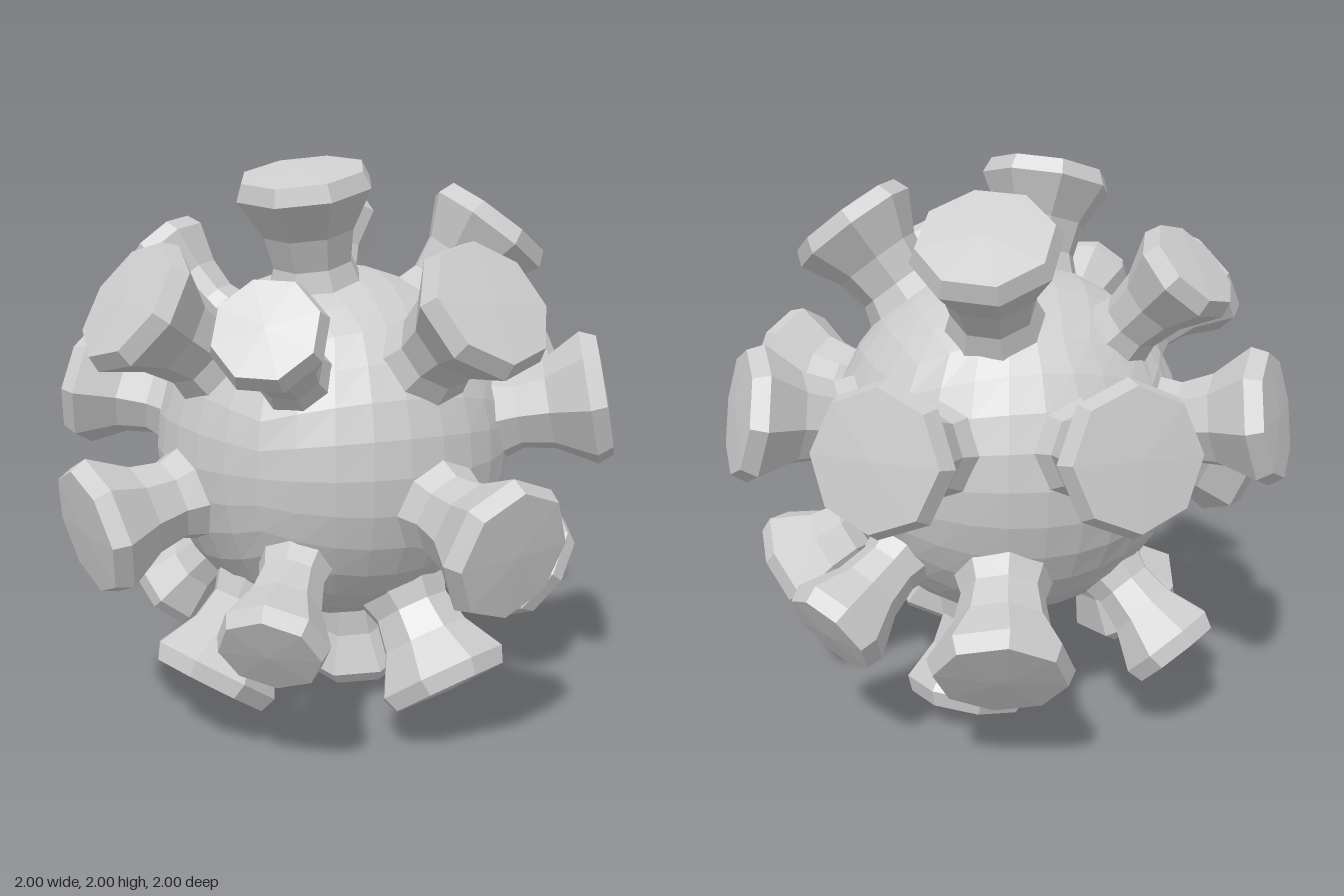
import * as THREE from 'three';

// Spike axes, measured from the centre of the body
const MAIN = [
  // one long spike per side
  [0.19, -0.19, 0.95], [-0.19, 0.19, -0.95], [0.95, 0.19, -0.19],
  [-0.95, -0.19, 0.19], [-0.19, 0.95, 0.19], [0.19, -0.95, -0.19],
  // spikes leaning over the edges between sides
  [0.18, 0.55, 0.77], [0.19, -0.77, 0.55], [0.78, 0.19, 0.54], [0.77, -0.54, 0.19],
  [0.54, 0.78, 0.19], [0.18, 0.77, -0.55], [-0.77, 0.54, 0.19], [-0.77, 0.18, -0.55],
  [0.54, 0.18, -0.77], [0.18, -0.54, -0.77], [-0.54, -0.77, 0.19],
];
const SMALL = [
  [-0.5, 0.5, 0.68], [-0.5, -0.49, 0.68], [0.68, -0.48, -0.48],
  [-0.5, 0.68, -0.5], [-0.5, -0.68, -0.5],
];

// Radius and distance from centre: flared foot, neck, widening head, bevel, cap
const PROFILE = [
  [0.23, 0.54], [0.165, 0.61], [0.14, 0.68], [0.16, 0.79],
  [0.236, 0.925], [0.212, 0.98], [0, 0.988],
];

const material = new THREE.MeshStandardMaterial({ color: 0xcccccc, flatShading: true });

function spikeGeometry(scale) {
  const points = PROFILE.map(([r, d]) => new THREE.Vector2(r * scale, d));
  return new THREE.LatheGeometry(points, 8);
}

// Turn a spike along its axis, with the octagon's corners lined up to the nearest cross axis
function makeSpike(geometry, axis, name) {
  const up = new THREE.Vector3(...axis).normalize();
  const sizes = axis.map(Math.abs);
  const ref = new THREE.Vector3().setComponent(sizes.indexOf(Math.min(...sizes)), 1);
  const side = ref.addScaledVector(up, -ref.dot(up)).normalize();
  const mesh = new THREE.Mesh(geometry, material);
  mesh.quaternion.setFromRotationMatrix(
    new THREE.Matrix4().makeBasis(side, up, side.clone().cross(up)));
  mesh.name = name;
  return mesh;
}

// Cube rounded into a ball of four-sided facets
function makeBody() {
  const geometry = new THREE.BoxGeometry(2, 2, 2, 8, 8, 8);
  const pos = geometry.attributes.position;
  const v = new THREE.Vector3();
  for (let i = 0; i < pos.count; i++) {
    v.fromBufferAttribute(pos, i);
    // even out the facets before projecting to the ball
    v.set(...v.toArray().map((c) => Math.tan(c * Math.PI / 4))).setLength(0.635);
    pos.setXYZ(i, v.x, v.y, v.z);
  }
  geometry.computeVertexNormals();
  const mesh = new THREE.Mesh(geometry, material);
  mesh.name = 'body';
  return mesh;
}

export function createModel() {
  const model = new THREE.Group();
  model.name = 'spikedBall';
  model.add(makeBody());

  const large = spikeGeometry(1);
  const small = spikeGeometry(0.77);
  MAIN.forEach((axis, i) => model.add(makeSpike(large, axis, `largeSpike${i + 1}`)));
  SMALL.forEach((axis, i) => model.add(makeSpike(small, axis, `smallSpike${i + 1}`)));

  // lift so the lowest spike rests on the ground
  model.children.forEach((part) => { part.position.y = 1; });
  return model;
}
